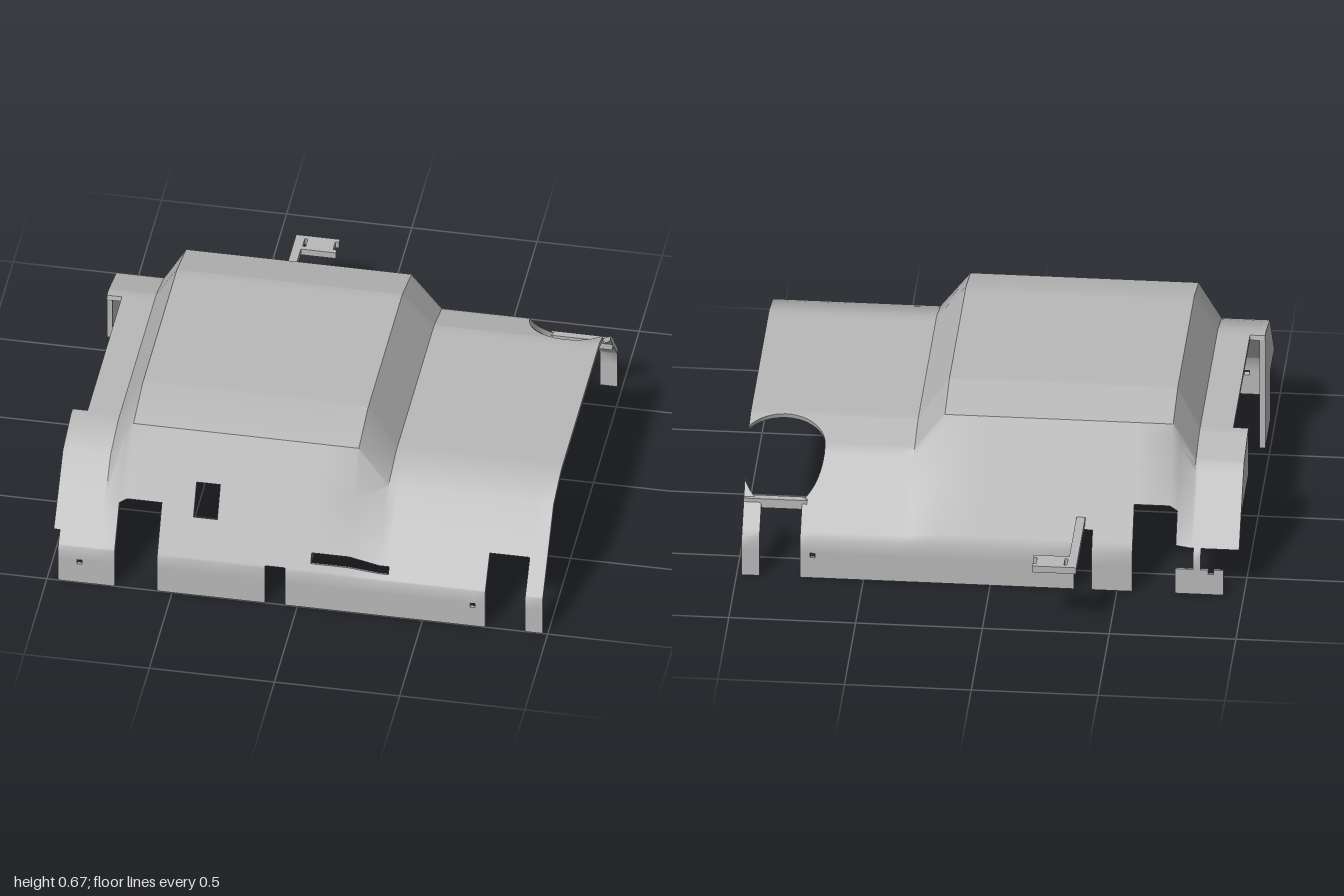
import * as THREE from 'three';
import { toCreasedNormals } from 'three/addons/utils/BufferGeometryUtils.js';

// Half-pipe cross-sections as [z, y], front foot to back foot
const LOW = [[1, 0], [1, 0.17], [0.76, 0.46], [0.59, 0.505], [-0.24, 0.505], [-0.41, 0.46], [-0.65, 0.17], [-0.65, 0]];
const HIGH = [[1, 0], [1, 0.17], [0.75, 0.62], [0.55, 0.67], [-0.2, 0.67], [-0.4, 0.62], [-0.65, 0.17], [-0.65, 0]];
const INSET = [[0.02, 0], [0.02, 0.008], [0.013, 0.018], [0.005, 0.02]];
const ARCH = { x: 0.84, z: -0.41, r: 0.168, gap: 0.001 };

const inner = (profile) => profile.map(([z, y], i) => {
  const [dz, dy] = INSET[Math.min(i, 7 - i)];
  return [z + (i < 4 ? -dz : dz), y - dy];
});
const at = (profile, t) => {
  const i = Math.min(6, Math.floor(t)), f = t - i;
  return [0, 1].map((k) => profile[i][k] * (1 - f) + profile[i + 1][k] * f);
};
// Position along the section for a depth z, or for a height on a foot panel
const tz = (z) => {
  for (let i = 1; i < 6; i++) {
    if (z <= LOW[i][0] && z >= LOW[i + 1][0]) return i + (LOW[i][0] - z) / (LOW[i][0] - LOW[i + 1][0]);
  }
  return z > 0 ? 1 : 6;
};
const front = (y) => y / 0.17;
const back = (y) => 7 - y / 0.17;

// How far the section is raised at x
const raise = (x) => THREE.MathUtils.clamp(Math.min((x + 0.79) / 0.09, (0.32 - x) / 0.12), 0, 1);

// Rectangular cutouts: x0, x1, t0, t1
const CUTS = [
  [-0.73, -0.56, 0, tz(0.9)], [0.75, 0.91, 0, tz(0.9)],
  [-0.13, -0.05, 0, 1.02],
  [-0.43, -0.335, tz(0.92), tz(0.855)],
  [0.05, 0.36, tz(0.982), tz(0.962)],
  [-0.98, -0.92, tz(0.55), tz(-0.2)],
  [-0.98, -0.955, 0, tz(0.96)],
  [-0.98, -0.92, tz(-0.63), 7],
  [-0.92, -0.83, tz(-0.63), back(0.11)], [-0.8, -0.73, tz(-0.63), back(0.11)],
  [-0.73, -0.56, tz(-0.56), 7], [0.75, 0.91, tz(-0.56), 7],
  [-0.4, -0.33, tz(-0.61), 7],
];
for (const x of [-0.87, 0.7]) {
  CUTS.push([x - 0.01, x + 0.01, front(0.09), front(0.11)], [x - 0.01, x + 0.01, back(0.11), back(0.09)]);
}
const archT = [tz(ARCH.z + ARCH.r), tz(ARCH.z - ARCH.r)];
CUTS.push([ARCH.x - ARCH.gap, ARCH.x + ARCH.gap, archT[0], archT[1]]);

function shellGeometry() {
  const sorted = (list) => [...new Set(list.map((v) => +v.toFixed(5)))].sort((a, b) => a - b);
  const xs = sorted([-0.98, -0.79, -0.7, 0.2, 0.32, 0.98, ...CUTS.flatMap((c) => [c[0], c[1]])]);
  const rows = [0, 1, 2, 3, 4, 5, 6, 7, ...CUTS.flatMap((c) => [c[2], c[3]])];
  // Extra rows for the round arch
  for (let i = 1; i < 24; i++) rows.push(tz(ARCH.z + ARCH.r * Math.cos(i * Math.PI / 24)));
  const ts = sorted(rows);
  const innerLow = inner(LOW), innerHigh = inner(HIGH);

  const vertex = (x0, t) => {
    const dz = at(LOW, t)[0] - ARCH.z;
    let x = x0;
    if (Math.abs(dz) < ARCH.r) {
      const h = Math.sqrt(ARCH.r ** 2 - dz ** 2);
      x = x0 < ARCH.x ? Math.min(x0, ARCH.x - h) : Math.min(0.98, Math.max(x0, ARCH.x + h));
    }
    const w = raise(x);
    const blend = (a, b) => {
      const p = at(a, t), q = at(b, t);
      return [x, p[1] + (q[1] - p[1]) * w, p[0] + (q[0] - p[0]) * w];
    };
    const o = blend(LOW, HIGH);
    return { o, i: blend(innerLow, innerHigh), key: o.map((v) => v.toFixed(4)).join() };
  };

  const pos = [], edges = new Map();
  const tri = (a, b, c) => pos.push(...a, ...b, ...c);
  const face = (a, b, c) => {
    if (a.key === b.key || b.key === c.key || a.key === c.key) return;
    tri(a.o, b.o, c.o);
    tri(a.i, c.i, b.i);
    for (const [p, q] of [[a, b], [b, c], [c, a]]) edges.set(p.key + '|' + q.key, [p, q]);
  };
  for (let j = 0; j < ts.length - 1; j++) {
    for (let i = 0; i < xs.length - 1; i++) {
      const x = (xs[i] + xs[i + 1]) / 2, t = (ts[j] + ts[j + 1]) / 2;
      if (CUTS.some((c) => x > c[0] && x < c[1] && t > c[2] && t < c[3])) continue;
      const a = vertex(xs[i], ts[j]), b = vertex(xs[i + 1], ts[j]);
      const c = vertex(xs[i + 1], ts[j + 1]), d = vertex(xs[i], ts[j + 1]);
      face(a, b, c);
      face(a, c, d);
    }
  }
  // Close every open rim between the outer and inner skins
  for (const [p, q] of edges.values()) {
    if (edges.has(q.key + '|' + p.key)) continue;
    tri(q.o, p.o, p.i);
    tri(q.o, p.i, q.i);
  }
  const g = new THREE.BufferGeometry();
  g.setAttribute('position', new THREE.Float32BufferAttribute(pos, 3));
  return toCreasedNormals(g, 0.75);
}

const polygon = (points) => new THREE.Shape(points.map(([x, y]) => new THREE.Vector2(x, y)));

export function createModel() {
  const group = new THREE.Group();
  const grey = new THREE.MeshStandardMaterial({ color: 0xb8b8b8 });
  grey.name = 'grey';
  const add = (name, geometry, x = 0, y = 0, z = 0) => {
    const mesh = new THREE.Mesh(geometry, grey);
    mesh.name = name;
    mesh.position.set(x, y, z);
    group.add(mesh);
  };

  add('coverShell', shellGeometry());

  // Side plates closing the ends of the fender
  const plate = (name, points) => {
    const g = new THREE.ExtrudeGeometry(polygon(points), { depth: 0.022, bevelEnabled: false });
    add(name, g.rotateY(-Math.PI / 2), -0.958);
  };
  plate('frontSidePlate', [[0.55, 0], [0.79, 0], [0.79, 0.22], [0.945, 0.22], [0.755, 0.45], [0.588, 0.495], [0.55, 0.495]]);
  plate('rearSidePlate', [[-0.2, 0.3], [-0.2, 0.495], [-0.238, 0.495], [-0.405, 0.45], [-0.53, 0.3]]);

  // Bridge under the round arch
  add('archBridge', new THREE.BoxGeometry(0.25, 0.04, 0.03), 0.855, 0.275, -0.545);

  // Rear arm with a slotted head
  const arm = polygon([[-0.37, 0.59], [-0.37, 1], [-0.195, 1], [-0.195, 0.98], [-0.21, 0.98], [-0.21, 0.93],
    [-0.195, 0.93], [-0.195, 0.91], [-0.335, 0.91], [-0.335, 0.59]]);
  arm.holes.push(polygon([[-0.332, 0.93], [-0.32, 0.93], [-0.32, 0.98], [-0.332, 0.98]]));
  const armGeometry = new THREE.ExtrudeGeometry(arm, { depth: 0.028, bevelEnabled: false });
  add('rearArm', armGeometry.rotateX(-Math.PI / 2), 0, 0.262, 0);

  return group;
}
